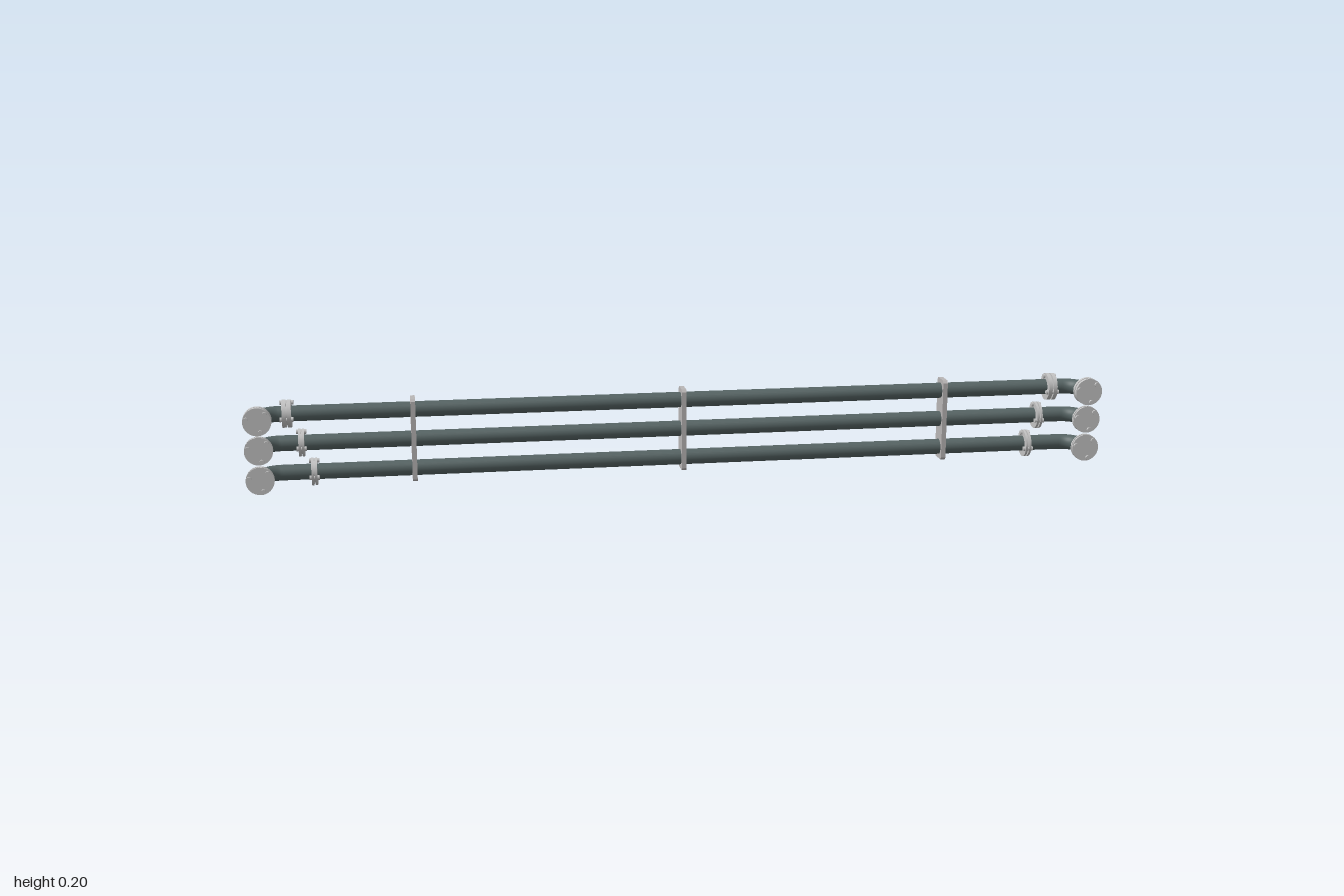
import * as THREE from 'three';

const PIPE_Z = -0.023, PIPE_R = 0.018, END_X = 0.968, BEND_R = 0.047, FLANGE_R = 0.032;

export function createModel() {
  const model = new THREE.Group();
  model.name = 'pipeRack';
  const pipeMat = new THREE.MeshStandardMaterial({ color: 0x566464 });
  pipeMat.name = 'dark pipe steel';
  const flangeMat = new THREE.MeshStandardMaterial({ color: 0xc4c4c4 });
  flangeMat.name = 'light flange steel';
  const bracketMat = new THREE.MeshStandardMaterial({ color: 0xb9b6b6 });
  bracketMat.name = 'bracket steel';

  const add = (parent, name, geo, mat) => {
    const mesh = new THREE.Mesh(geo, mat);
    mesh.name = name;
    parent.add(mesh);
    return mesh;
  };
  // Cylinder along local z
  const disc = (r, h, sides = 32) => new THREE.CylinderGeometry(r, r, h, sides).rotateX(Math.PI / 2);

  // Two bolted plates around a seal, with three through bolts, axis along local z
  function flange(name, plate, gap, startAngle) {
    const g = new THREE.Group();
    g.name = name;
    const offset = (plate + gap) / 2;
    for (const s of [-1, 1]) add(g, 'flangePlate', disc(FLANGE_R, plate), flangeMat).position.z = s * offset;
    add(g, 'flangeSeal', disc(0.026, gap + 0.002), flangeMat);
    for (let i = 0; i < 3; i++) {
      const a = startAngle + i * Math.PI * 2 / 3;
      add(g, 'bolt', disc(0.0055, plate * 2 + gap + 0.01, 12), flangeMat)
        .position.set(Math.cos(a) * 0.025, Math.sin(a) * 0.025, 0);
    }
    return g;
  }

  const rows = [
    { y: 0.034, left: 0.84, right: -0.849, plate: 0.005, gap: 0.003 },
    { y: 0.103, left: 0.865, right: -0.875, plate: 0.005, gap: 0.003 },
    { y: 0.172, left: 0.895, right: -0.905, plate: 0.009, gap: 0.003 },
  ];

  for (const row of rows) {
    const line = new THREE.Group();
    line.name = 'pipeLine';
    line.position.y = row.y;
    model.add(line);

    // Long straight run
    const run = add(line, 'straightPipe',
      new THREE.CylinderGeometry(PIPE_R, PIPE_R, 2 * (END_X - BEND_R), 28).rotateZ(Math.PI / 2), pipeMat);
    run.position.z = PIPE_Z;

    for (const s of [-1, 1]) {
      // Elbow turning forward, then a short stub into the end flange
      const path = new THREE.CurvePath();
      const points = [];
      for (let i = 0; i <= 12; i++) {
        const a = i / 12 * Math.PI / 2;
        points.push(new THREE.Vector3(
          s * (END_X - BEND_R + Math.sin(a) * BEND_R), 0, PIPE_Z + BEND_R * (1 - Math.cos(a))));
      }
      points.push(new THREE.Vector3(s * END_X, 0, 0.036));
      for (let i = 1; i < points.length; i++) path.add(new THREE.LineCurve3(points[i - 1], points[i]));
      add(line, 'elbow', new THREE.TubeGeometry(new THREE.CatmullRomCurve3(points), 24, PIPE_R, 28), pipeMat);

      const endFlange = flange('endFlange', row.plate, row.gap, Math.PI / 4);
      endFlange.position.set(s * END_X, 0, row.plate > 0.006 ? 0.042 : 0.0395);
      line.add(endFlange);

      const runFlange = flange('runFlange', row.plate, row.gap, 1.4);
      runFlange.rotation.y = Math.PI / 2;
      runFlange.position.set(s > 0 ? row.left : row.right, 0, PIPE_Z);
      line.add(runFlange);
    }
  }

  // Upright support plates, with holes for the pipes
  const outline = new THREE.Shape();
  const b = 0.006, z0 = -0.048, z1 = 0.002, y0 = 0.006, y1 = 0.2;
  [[z0 + b, y0], [z1 - b, y0], [z1, y0 + b], [z1, y1 - b], [z1 - b, y1], [z0 + b, y1], [z0, y1 - b], [z0, y0 + b]]
    .forEach(([z, y], i) => (i ? outline.lineTo(-z, y) : outline.moveTo(-z, y)));
  outline.closePath();
  for (const row of rows) {
    const hole = new THREE.Path();
    hole.absarc(-PIPE_Z, row.y, PIPE_R, 0, Math.PI * 2, true);
    outline.holes.push(hole);
  }
  const plateGeo = new THREE.ExtrudeGeometry(outline, { depth: 0.011, bevelEnabled: false, curveSegments: 20 })
    .translate(0, 0, -0.0055).rotateY(Math.PI / 2);
  for (const x of [-0.622, 0.003, 0.63]) add(model, 'supportBracket', plateGeo, bracketMat).position.x = x;

  return model;
}
